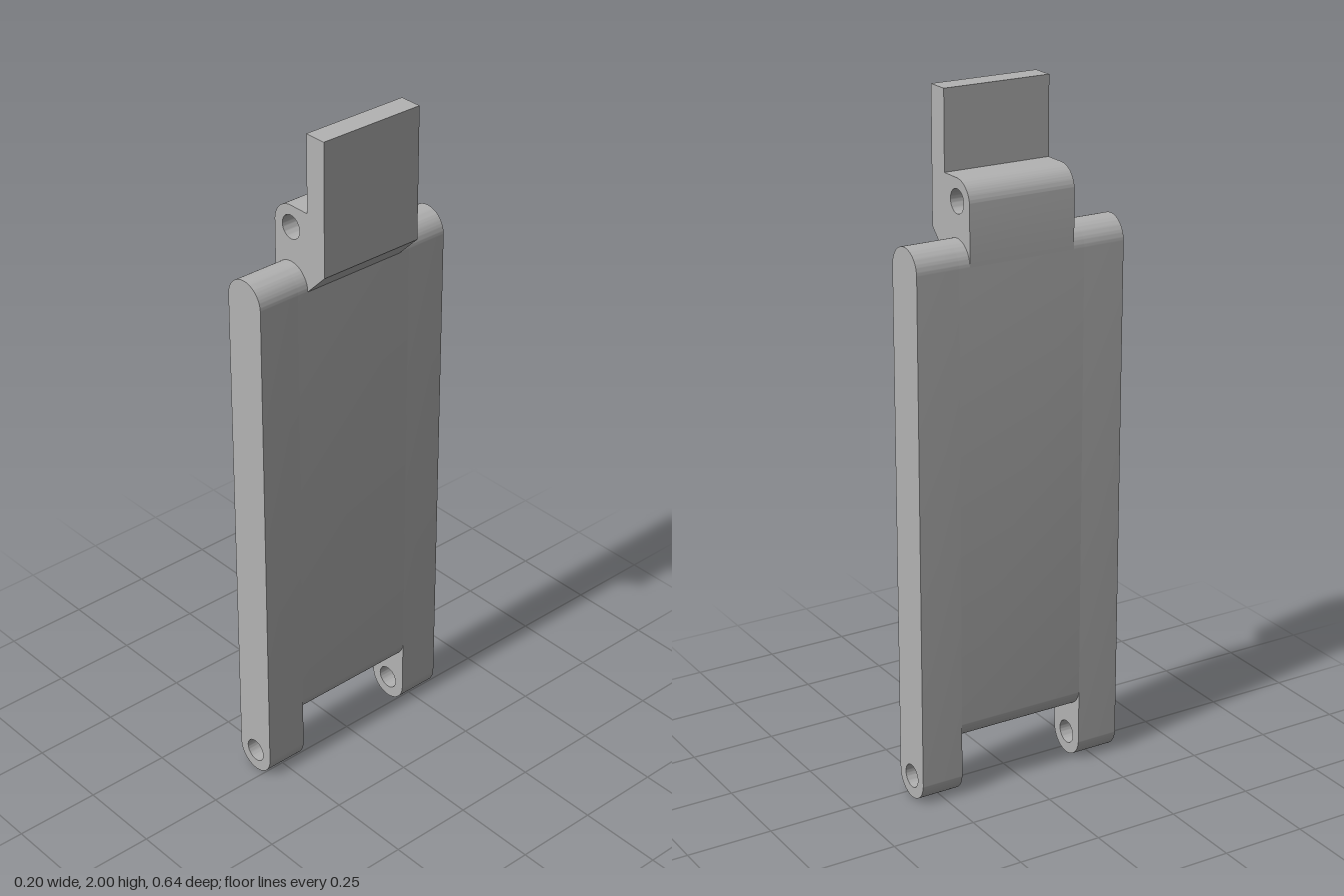
import * as THREE from 'three';
import { toCreasedNormals } from 'three/addons/utils/BufferGeometryUtils.js';

const R = 0.0645;      // half thickness of the plate
const CX = -0.0335;    // mid-plane of the plate in x
const HOLE = 0.034;
const TOP = 1.613;

export function createModel() {
  const group = new THREE.Group();
  const grey = new THREE.MeshStandardMaterial({ color: 0xb3b3b3 });
  grey.name = 'plain grey';

  // extrude an x-y profile between two z positions, keeping edges sharp
  const add = (name, shape, z0, z1) => {
    const geo = new THREE.ExtrudeGeometry(shape, { depth: z1 - z0, bevelEnabled: false, curveSegments: 24 });
    geo.translate(0, 0, z0);
    const mesh = new THREE.Mesh(toCreasedNormals(geo, 0.5), grey);
    mesh.name = name;
    group.add(mesh);
  };
  const pinHole = (shape, y) => {
    const hole = new THREE.Path();
    hole.absarc(CX, y, HOLE, 0, Math.PI * 2, true);
    shape.holes.push(hole);
  };
  // slab profile with fully rounded ends
  const slab = (y0, y1) => {
    const s = new THREE.Shape();
    s.absarc(CX, y1 - R, R, 0, Math.PI, false);
    s.absarc(CX, y0 + R, R, Math.PI, Math.PI * 2, false);
    s.closePath();
    return s;
  };

  // main plate, stopping above the slot between the legs
  add('centrePlate', slab(0.165, TOP), -0.195, 0.195);

  // side strips that run down into the drilled hinge legs
  const side = slab(0, TOP);
  pinHole(side, 0.066);
  add('leftHingeStrip', side, -0.322, -0.195);
  add('rightHingeStrip', side, 0.195, 0.322);

  // upper hinge knuckle with the offset tab and its chamfered foot
  const k = new THREE.Shape();
  k.moveTo(CX - R, TOP - R);
  k.lineTo(CX + R, TOP - R);
  k.lineTo(0.0975, TOP + 0.002);
  k.lineTo(0.0975, 2);
  k.lineTo(CX + R, 2);
  k.lineTo(CX + R, 1.776);
  k.lineTo(CX, 1.776);
  k.absarc(CX, 1.776 - R, R, Math.PI / 2, Math.PI, false);
  k.closePath();
  pinHole(k, 1.713);
  add('knuckleAndTab', k, -0.162, 0.162);

  return group;
}
